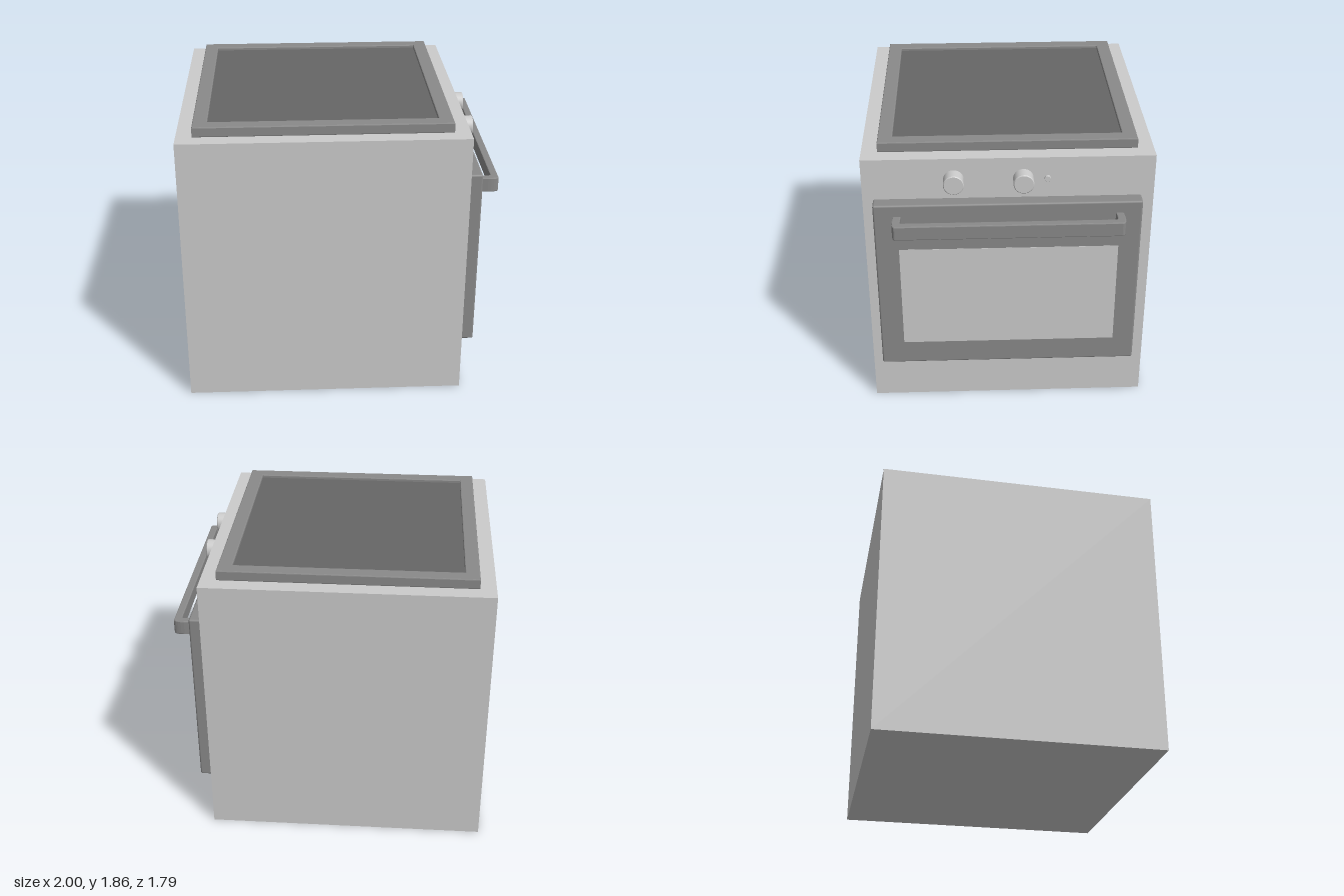
import * as THREE from 'three';
import { RoundedBoxGeometry } from 'three/addons/geometries/RoundedBoxGeometry.js';

const grey = new THREE.MeshStandardMaterial({ color: 0xcccccc });
const darkGrey = new THREE.MeshStandardMaterial({ color: 0x8a8a8a });
const glassGrey = new THREE.MeshStandardMaterial({ color: 0x666666 });

export function createModel() {
  const group = new THREE.Group();

  const add = (name, geometry, material, x = 0, y = 0, z = 0) => {
    const mesh = new THREE.Mesh(geometry, material);
    mesh.name = name;
    mesh.position.set(x, y, z);
    group.add(mesh);
    return mesh;
  };

  const rectangle = (Type, x0, x1, z0, z1) => new Type([
    new THREE.Vector2(x0, -z1), new THREE.Vector2(x1, -z1),
    new THREE.Vector2(x1, -z0), new THREE.Vector2(x0, -z0),
  ]);

  // Plan outline (x, -z) raised along y with a small bevel
  const raise = (shape, height, bevel) => new THREE.ExtrudeGeometry(shape, {
    depth: height - 2 * bevel, bevelEnabled: true, bevelThickness: bevel,
    bevelSize: bevel, bevelOffset: -bevel, bevelSegments: 2, curveSegments: 6,
  }).translate(0, 0, bevel).rotateX(-Math.PI / 2);

  // Cabinet
  add('cabinet', new THREE.BoxGeometry(1.79, 1.795, 1.79), grey, -0.105, 0.8975, -0.005);

  // Hob: raised frame around a slightly sunken glass plate
  const frame = rectangle(THREE.Shape, -0.9, 0.69, -0.8, 0.79);
  frame.holes.push(rectangle(THREE.Path, -0.81, 0.6, -0.71, 0.7));
  add('hobFrame', raise(frame, 0.065, 0.006), darkGrey, 0, 1.795, 0);
  add('hobGlass', new THREE.BoxGeometry(1.42, 0.045, 1.42), glassGrey, -0.105, 1.8175, -0.005);

  // Oven door with a flush window
  add('door', new RoundedBoxGeometry(0.095, 1.195, 1.65, 3, 0.012), darkGrey, 0.8275, 0.9275, 0);
  add('doorWindow', new THREE.BoxGeometry(0.02, 0.715, 1.365), grey, 0.8665, 0.8525, -0.005);

  // Handle: a bar on two short legs, bent from one outline
  const handle = new THREE.Shape();
  handle.moveTo(0.865, 0.71);
  handle.lineTo(0.93, 0.715);
  handle.quadraticCurveTo(0.998, 0.715, 0.998, 0.69);
  handle.lineTo(0.998, -0.69);
  handle.quadraticCurveTo(0.998, -0.71, 0.93, -0.71);
  handle.lineTo(0.865, -0.705);
  handle.lineTo(0.865, -0.655);
  handle.lineTo(0.93, -0.66);
  handle.quadraticCurveTo(0.95, -0.66, 0.95, -0.65);
  handle.lineTo(0.95, 0.65);
  handle.quadraticCurveTo(0.95, 0.665, 0.93, 0.665);
  handle.lineTo(0.865, 0.66);
  add('handle', raise(handle, 0.095, 0.006), darkGrey, 0, 1.353, 0);

  // Knobs: lathed with a softened rim, turned to face +x
  const knob = (name, radius, length, z) => {
    const rim = radius * 0.08;
    const profile = [
      [0, 0], [radius, 0], [radius, 0], [radius, length - rim], [radius, length - rim],
      [radius - rim, length], [radius - rim, length], [0, length],
    ].map(([r, h]) => new THREE.Vector2(r, h));
    const geometry = new THREE.LatheGeometry(profile, 40).rotateZ(-Math.PI / 2);
    add(name, geometry, grey, 0.785, 1.655, z);
  };
  knob('knobLeft', 0.063, 0.088, 0.33);
  knob('knobRight', 0.063, 0.088, -0.095);
  knob('indicatorLight', 0.019, 0.022, -0.243);

  return group;
}
